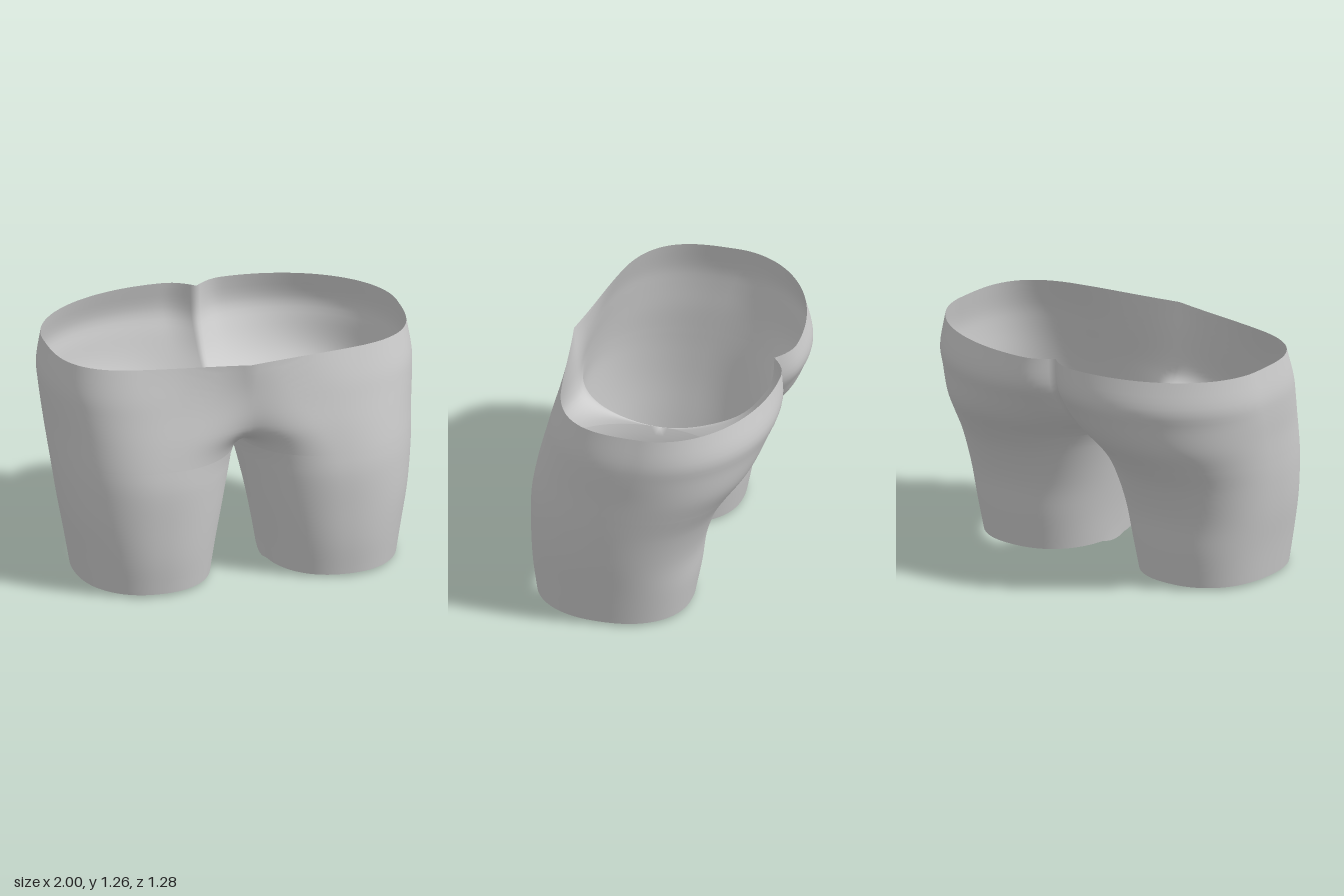
import * as THREE from 'three';
import { mergeVertices } from 'three/addons/utils/BufferGeometryUtils.js';

// Leg section limits at a few heights; above the crotch the inner limit passes
// the centre plane, so the sections open there and the two halves join.
const Y = [0.015, 0.2, 0.4, 0.6, 0.715, 0.85, 1.0, 1.1, 1.26];
const OUTER = [0.875, 0.905, 0.94, 0.965, 0.975, 0.985, 0.998, 1, 0.975];
const INNER = [0.15, 0.12, 0.08, 0.035, 0, -0.11, -0.28, -0.4, -0.55];
const FRONT = [0.61, 0.632, 0.64, 0.64, 0.625, 0.6, 0.565, 0.54, 0.49];
const BACK = [-0.23, -0.265, -0.293, -0.365, -0.437, -0.535, -0.602, -0.638, -0.62];
// Squareness of the front and back of each section
const FRONT_POWER = [2.2, 2.2, 2.2, 2.2, 2.3, 2.5, 2.75, 2.95, 3.2];
const BACK_POWER = [2.3, 2.3, 2.3, 2.25, 2.2, 2.1, 2, 2, 2];
// Waistband curving forward at the front centre, and the crease at the back centre
const LIFT = [0, 0, 0, 0, 0, 0, 0, 0.015, 0.075];
const CREASE = [0, 0, 0, 0, 0, 0, 0.035, 0.06, 0.06];
const CROTCH = 0.715;
const COLS = 96, LOW = 16, HIGH = 26;

// Smooth cubic through the values of a profile
function at(values, y) {
  const last = Y.length - 1;
  let i = 0;
  while (i < last - 1 && y > Y[i + 1]) i++;
  const slope = k => {
    const a = Math.max(k - 1, 0), b = Math.min(k + 1, last);
    return (values[b] - values[a]) / (Y[b] - Y[a]);
  };
  const h = Y[i + 1] - Y[i], t = (y - Y[i]) / h, t2 = t * t, t3 = t2 * t;
  return (2 * t3 - 3 * t2 + 1) * values[i] + (t3 - 2 * t2 + t) * h * slope(i)
    + (3 * t2 - 2 * t3) * values[i + 1] + (t3 - t2) * h * slope(i + 1);
}

// One row of points: rounded section from back centre, round the outside, to front centre
function section(y, out, side) {
  const x0 = at(INNER, y), x1 = at(OUTER, y), z0 = at(BACK, y), z1 = at(FRONT, y);
  const cx = (x0 + x1) / 2, rx = (x1 - x0) / 2, cz = (z0 + z1) / 2, rz = (z1 - z0) / 2;
  const open = y >= CROTCH - 1e-6;
  const ratio = open ? Math.min(1, cx / rx) : 1;
  const nFront = at(FRONT_POWER, y), nBack = at(BACK_POWER, y);
  const end = n => Math.PI - Math.acos(Math.min(1, Math.pow(ratio, n / 2)));
  const from = -end(nBack), to = end(nFront);
  // half width of the rounded valley between the legs at the front
  const valley = 0.1 * THREE.MathUtils.smoothstep(y, CROTCH, CROTCH + 0.16);
  for (let i = 0; i <= COLS; i++) {
    const a = from + (to - from) * i / COLS;
    const p = 2 / (a > 0 ? nFront : nBack);
    const c = Math.cos(a), s = Math.sin(a);
    let x = cx + rx * Math.sign(c) * Math.pow(Math.abs(c), p);
    let z = cz + rz * Math.sign(s) * Math.pow(Math.abs(s), p);
    const edge = i === 0 || i === COLS;
    if (edge) x = open ? 0 : x0;
    if (edge && ratio === 1) z = cz;
    if (a > Math.PI / 2 && valley > 0) {
      const u = Math.min(1, Math.abs(Math.hypot(x, valley) - cx) / rx);
      z = cz + rz * Math.pow(1 - Math.pow(u, nFront), 1 / nFront);
    }
    if (a > 0) z += at(LIFT, y) * Math.pow(Math.max(0, 1 - x / 0.6), 1.5);
    else z += at(CREASE, y) * Math.pow(Math.max(0, 1 - x / 0.16), 2);
    // hem dips slightly at the inner thigh
    const dip = y < 0.016 ? 0.015 * Math.max(0, 1 - (x - 0.15) / 0.005) : 0;
    out.push(side * x, y - dip, z);
  }
}

function createModel() {
  const grey = new THREE.MeshStandardMaterial({ color: 0xcccccc, side: THREE.DoubleSide });
  grey.name = 'grey cloth';

  // Row heights, packed closer just above the crotch
  const heights = [];
  for (let j = 0; j < LOW; j++) heights.push(Y[0] + (CROTCH - Y[0]) * j / LOW);
  for (let j = 0; j <= HIGH; j++) heights.push(CROTCH + (Y[8] - CROTCH) * Math.pow(j / HIGH, 1.8));

  const positions = [], index = [], width = COLS + 1;
  for (const side of [1, -1]) {
    const base = positions.length / 3;
    heights.forEach(y => section(y, positions, side));
    for (let j = 0; j < heights.length - 1; j++) {
      for (let i = 0; i < COLS; i++) {
        const a = base + j * width + i, b = a + 1, c = a + width, d = c + 1;
        if (side > 0) index.push(a, c, b, b, c, d);
        else index.push(a, b, c, b, d, c);
      }
    }
  }

  // Both halves welded along the centre seam and the inner legs
  let cloth = new THREE.BufferGeometry();
  cloth.setAttribute('position', new THREE.Float32BufferAttribute(positions, 3));
  cloth.setIndex(index);
  cloth = mergeVertices(cloth, 1e-4);
  cloth.computeVertexNormals();

  const shorts = new THREE.Mesh(cloth, grey);
  shorts.name = 'shorts';
  const group = new THREE.Group();
  group.name = 'shortTrousers';
  group.add(shorts);
  return group;
}

export { createModel };
